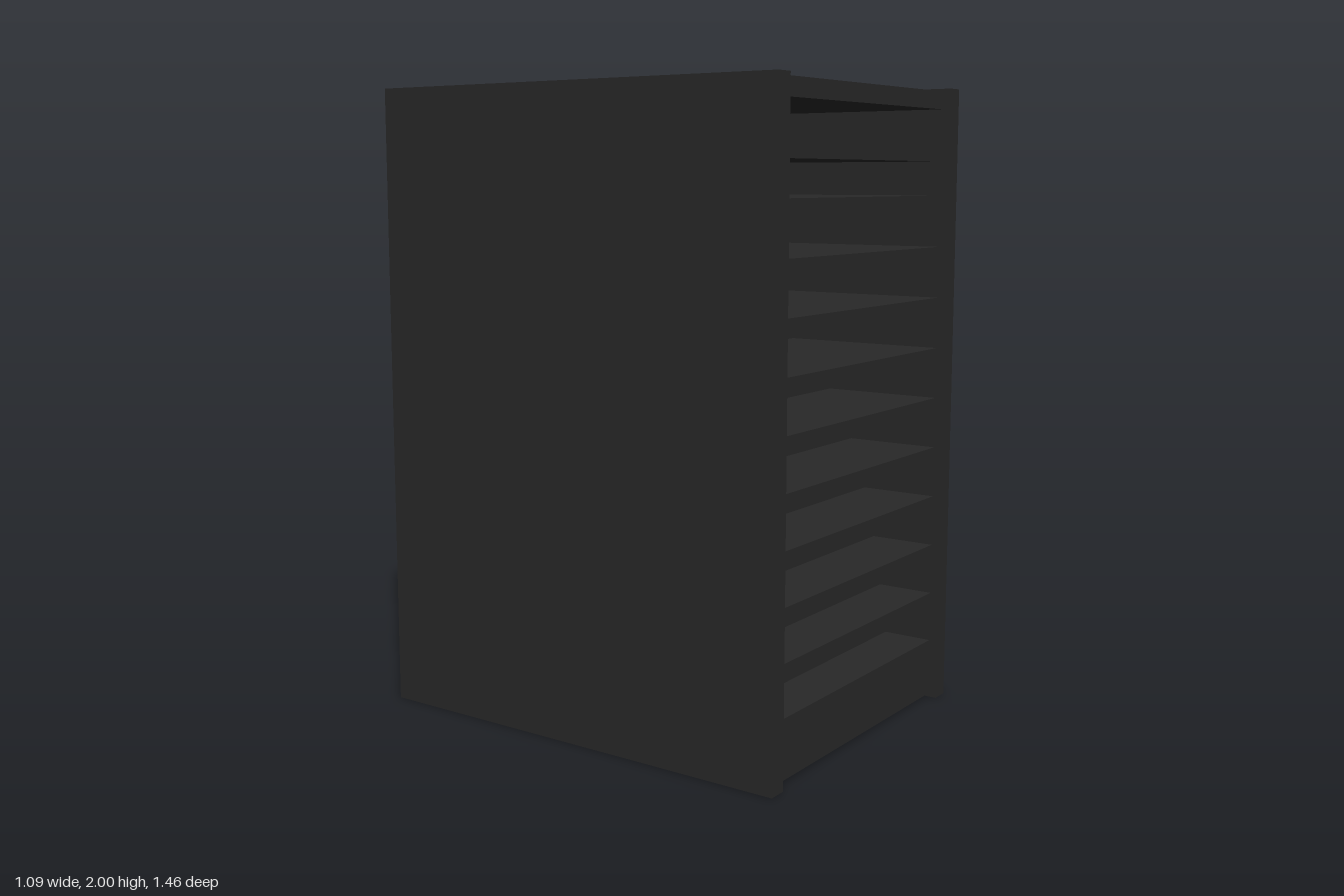
import * as THREE from 'three';

export function createModel() {
  const group = new THREE.Group();
  const material = new THREE.MeshStandardMaterial({ color: 0x282828 });

  // Box given by its size, bottom height and centre in x and z
  function addBox(name, w, h, d, x, bottom, z) {
    const mesh = new THREE.Mesh(new THREE.BoxGeometry(w, h, d), material);
    mesh.name = name;
    mesh.position.set(x, bottom + h / 2, z);
    group.add(mesh);
  }

  // Side panels, standing slightly proud of the shelves
  const panelWidth = 0.06, panelX = 0.517;
  addBox('leftPanel', panelWidth, 2, 1.46, panelX, 0, 0);
  addBox('rightPanel', panelWidth, 2, 1.46, -panelX, 0, 0);

  // Inner width and depth shared by the plinth and shelves
  const width = 2 * panelX - panelWidth, depth = 1.414, z = -0.005;

  // Solid plinth
  addBox('plinth', width, 0.185, depth, 0, 0.01, z);

  // Evenly spaced shelves, the last one closing the top
  const count = 11, firstBottom = 0.301, spacing = 0.1635, thickness = 0.056;
  for (let i = 0; i < count; i++) {
    const name = i === count - 1 ? 'topBoard' : `shelf${i + 1}`;
    addBox(name, width, thickness, depth, 0, firstBottom + i * spacing, z);
  }

  return group;
}
